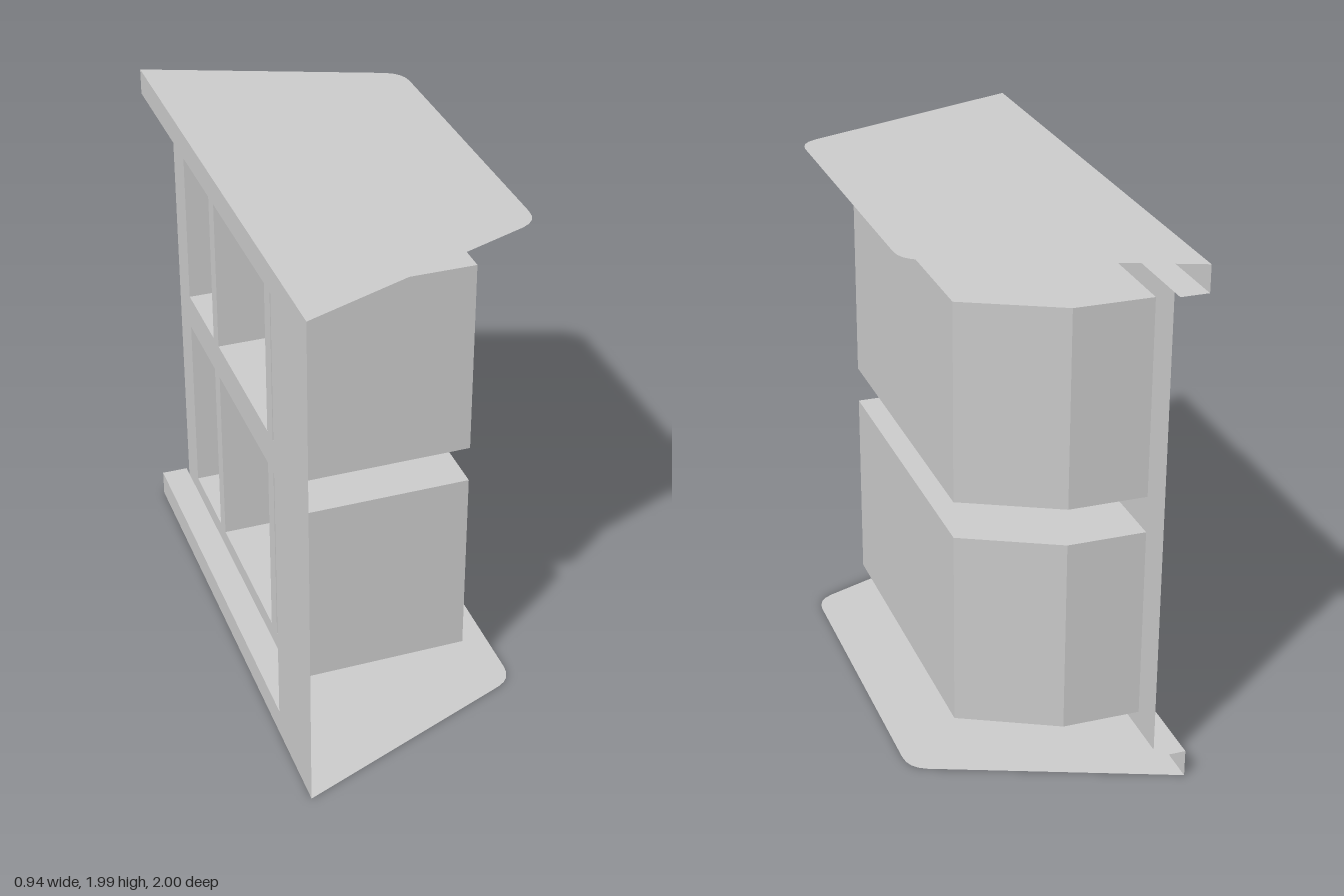
import * as THREE from 'three';

const material = new THREE.MeshStandardMaterial({ color: 0xcccccc, side: THREE.DoubleSide, flatShading: true });

// Main planes
const WALL_X = -0.47, FRAME_X = -0.365, BAY_X = 0.285;
const HEIGHT = 1.985, SILL = 0.105, HEAD = 1.885, JAMB_Z = 0.63;
const ROWS = [[0.177, 0.925], [1.065, 1.812]];
const PANES = [[-0.81, -0.47], [-0.405, 0.215], [0.28, 0.56]];

function toShape(points) {
  return new THREE.Shape(points.map(([a, b]) => new THREE.Vector2(a, b)));
}

function addMesh(parent, name, geometry) {
  const mesh = new THREE.Mesh(geometry, material);
  mesh.name = name;
  parent.add(mesh);
  return mesh;
}

// Upright sheet in a plane of constant x, outlined in (z, y)
function uprightSheet(parent, name, x, points, holes = []) {
  const flip = (list) => list.map(([z, y]) => new THREE.Vector2(-z, y));
  const shape = new THREE.Shape(flip(points));
  holes.forEach((hole) => shape.holes.push(new THREE.Path(flip(hole))));
  const mesh = addMesh(parent, name, new THREE.ShapeGeometry(shape).rotateY(Math.PI / 2));
  mesh.position.x = x;
}

// Level sheet at height y, outlined in (x, z)
function levelSheet(parent, name, y, shape) {
  const mesh = addMesh(parent, name, new THREE.ShapeGeometry(shape, 4).rotateX(Math.PI / 2));
  mesh.position.y = y;
}

// Vertical faces following a path in (x, z)
function ribbon(parent, name, path, y0, y1) {
  const positions = [];
  for (let i = 0; i < path.length - 1; i++) {
    const [ax, az] = path[i], [bx, bz] = path[i + 1];
    positions.push(ax, y0, az, bx, y0, bz, bx, y1, bz, ax, y0, az, bx, y1, bz, ax, y1, az);
  }
  const geometry = new THREE.BufferGeometry();
  geometry.setAttribute('position', new THREE.Float32BufferAttribute(positions, 3));
  geometry.computeVertexNormals();
  addMesh(parent, name, geometry);
}

const rect = (z0, z1, y0, y1) => [[z0, y0], [z1, y0], [z1, y1], [z0, y1]];

export function createModel() {
  const model = new THREE.Group();
  model.name = 'bayWindow';

  // Back wall, cut away around the window and open at one end
  uprightSheet(model, 'wall', WALL_X, [
    [1, 0], [-1, 0], [-1, SILL], [JAMB_Z, SILL], [JAMB_Z, HEAD], [-1, HEAD], [-1, HEIGHT], [1, HEIGHT],
  ]);

  // Tapered floor and roof slabs with rounded outer corners
  const slab = new THREE.Shape();
  slab.moveTo(WALL_X, -1);
  slab.lineTo(0.4, -0.66);
  slab.bezierCurveTo(0.445, -0.64, 0.463, -0.61, 0.465, -0.56);
  slab.lineTo(0.465, 0.56);
  slab.bezierCurveTo(0.463, 0.61, 0.445, 0.64, 0.4, 0.66);
  slab.lineTo(WALL_X, 1);
  levelSheet(model, 'floorSlab', 0, slab);
  levelSheet(model, 'roofSlab', HEIGHT, slab);

  // Reveal between wall and window frame
  const ledge = toShape([[WALL_X, -1], [FRAME_X, -1], [FRAME_X, JAMB_Z], [WALL_X, JAMB_Z]]);
  levelSheet(model, 'sill', SILL, ledge);
  levelSheet(model, 'lintel', HEAD, ledge);
  ribbon(model, 'jamb', [[WALL_X, JAMB_Z], [FRAME_X, JAMB_Z]], SILL, HEAD);

  // Window frame with two rows of three openings
  const openings = ROWS.flatMap(([y0, y1]) => PANES.map(([z0, z1]) => rect(z0, z1, y0, y1)));
  uprightSheet(model, 'windowFrame', FRAME_X, rect(JAMB_Z, -0.955, SILL, HEAD), openings);

  // Projecting bays: shell, top, bottom and inner dividers
  const outline = [[FRAME_X, 0.56], [BAY_X, 0.56], [BAY_X, -0.63], [-0.07, -0.81], [FRAME_X, -0.81]];
  ROWS.forEach(([y0, y1], row) => {
    const bay = new THREE.Group();
    bay.name = row ? 'upperBay' : 'lowerBay';
    ribbon(bay, 'bayShell', outline, y0, y1);
    levelSheet(bay, 'bayBottom', y0, toShape(outline));
    levelSheet(bay, 'bayTop', y1, toShape(outline));
    [PANES[0][1], PANES[1][0], PANES[1][1], PANES[2][0]].forEach((z) => {
      ribbon(bay, 'divider', [[FRAME_X, z], [BAY_X, z]], y0, y1);
    });
    model.add(bay);
  });

  return model;
}
